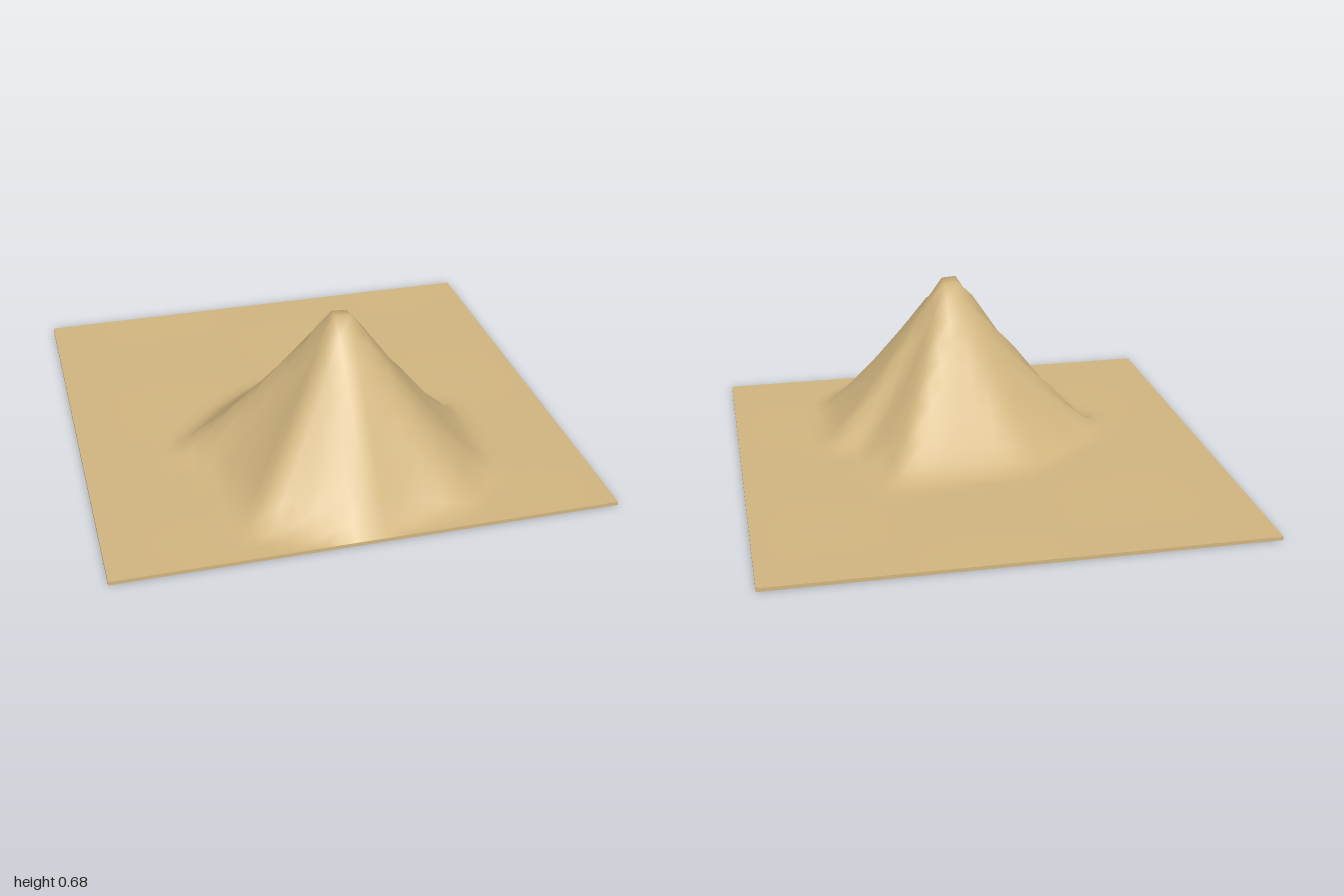
import * as THREE from 'three';

const BASE = 0.015, HEIGHT = 0.72, APEX = [0.03, 0.41];

// Foot of the hill as x, z corners, going round the apex
const FOOT = [
  [0.63, 0.42], [0.63, 0.2], [0.5, 0.1], [0.46, -0.08], [0.39, -0.28], [0.2, -0.28],
  [0, -0.25], [-0.22, -0.22], [-0.42, -0.06], [-0.62, 0.16], [-0.6, 0.24], [-0.54, 0.36],
  [-0.48, 0.62], [-0.44, 0.84], [-0.2, 0.94], [-0.02, 0.99], [0.2, 0.92], [0.46, 0.88],
  [0.6, 0.68],
].map(([x, z]) => [x - APEX[0], z - APEX[1]]);

// 0 at the apex, 1 on the foot outline, more outside
function footDistance(x, z) {
  for (let i = 0; i < FOOT.length; i++) {
    const a = FOOT[i], b = FOOT[(i + 1) % FOOT.length];
    const det = a[0] * b[1] - a[1] * b[0];
    const u = (x * b[1] - z * b[0]) / det;
    const v = (a[0] * z - a[1] * x) / det;
    if (u >= -1e-9 && v >= -1e-9) return u + v;
  }
  return 2;
}

// Ground height: faint ripples plus a faceted, concave hill that is fuller at the front
function groundHeight(x, z) {
  const edge = Math.min(1, 4 * (1 - Math.max(Math.abs(x), Math.abs(z))));
  const ripple = 0.0025 * edge * Math.sin(5 * x + 1) * Math.sin(6 * z + 0.5);
  const dx = x - APEX[0], dz = z - APEX[1];
  const t = footDistance(dx, dz);
  if (t >= 1) return BASE + ripple;
  const front = Math.max(0, dz / Math.hypot(dx, dz));
  return BASE + ripple + HEIGHT * Math.pow(1 - t, 1.25 - 0.28 * front * front);
}

export function createModel() {
  const group = new THREE.Group();
  group.name = 'sandHill';
  const sand = new THREE.MeshStandardMaterial({ color: 0xd2b680 });
  sand.name = 'sand';

  // Thin slab whose top face is raised into the hill; sides and underside stay flat
  const geometry = new THREE.BoxGeometry(2, BASE, 2, 32, 1, 32);
  geometry.translate(0, BASE / 2, 0);
  const pos = geometry.attributes.position, normal = geometry.attributes.normal;
  for (let i = 0; i < pos.count; i++) {
    if (normal.getY(i) > 0.5) pos.setY(i, groundHeight(pos.getX(i), pos.getZ(i)));
  }
  geometry.computeVertexNormals();

  const terrain = new THREE.Mesh(geometry, sand);
  terrain.name = 'terrain';
  group.add(terrain);
  return group;
}
